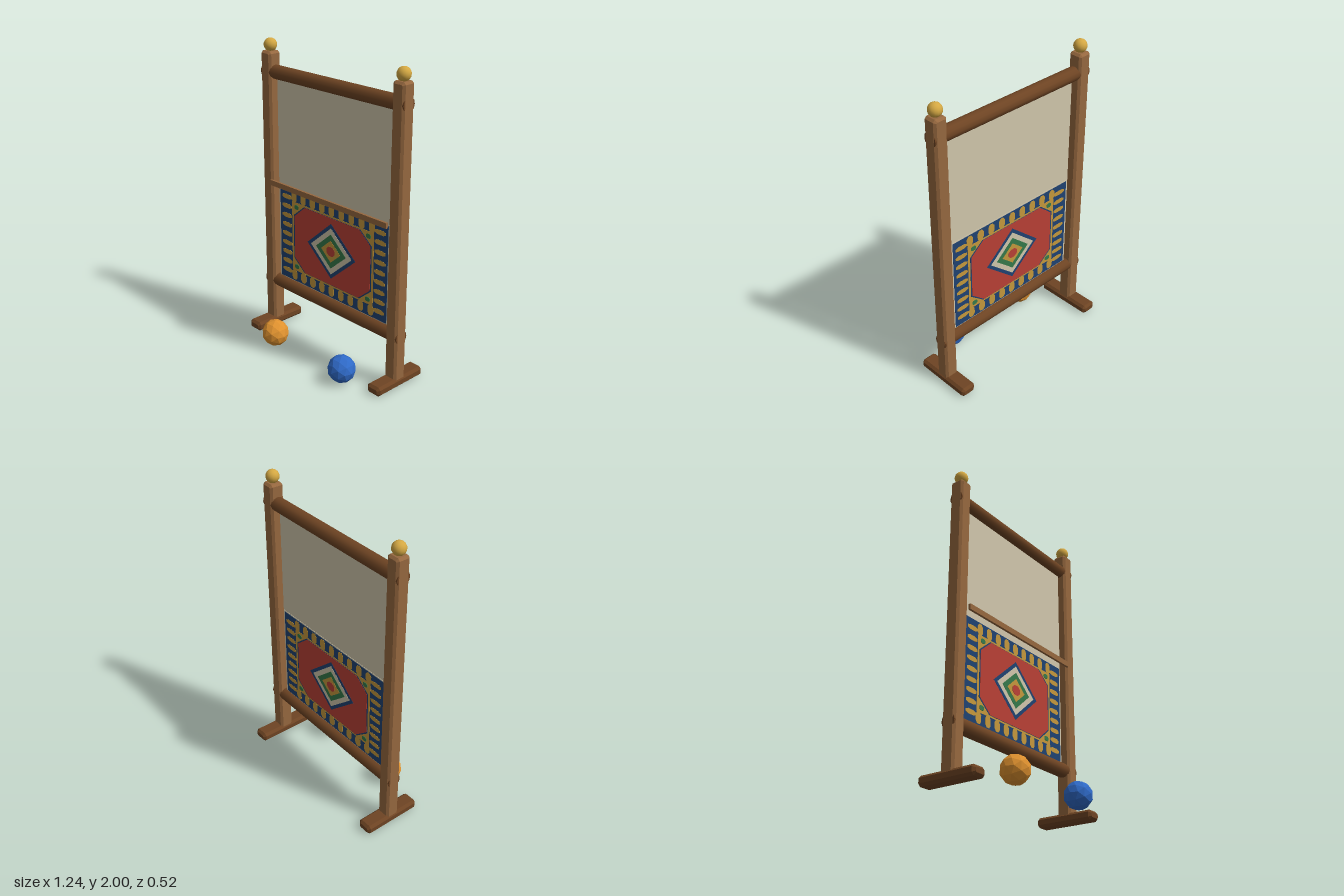
import * as THREE from 'three';

const mat = (name, color, extra = {}) =>
  Object.assign(new THREE.MeshStandardMaterial({ color, ...extra }), { name });

export function createModel() {
  const wood = mat('post wood', 0x96683f);
  const darkWood = mat('dark wood', 0x6e4423);
  const brass = mat('finial gold', 0xd4a843);
  const ivory = mat('warp ivory', 0xd0c6ab);
  const navy = mat('rug navy', 0x1f4272);
  const red = mat('rug red', 0xb84035);
  const green = mat('rug green', 0x35794a);
  const gold = mat('rug gold', 0xc4983c);
  const orange = mat('orange yarn', 0xe0922f, { flatShading: true });
  const blue = mat('blue yarn', 0x2f6ac8, { flatShading: true });

  const Z = -0.06; // plane of the frame
  const root = new THREE.Group();
  root.name = 'weavingLoom';

  const add = (name, geometry, material, x, y, z, parent = root) => {
    const mesh = new THREE.Mesh(geometry, material);
    mesh.name = name;
    mesh.position.set(x, y, z);
    parent.add(mesh);
    return mesh;
  };

  // Closed shape from half extents with corners cut by (cx, cy)
  const cutRect = (a, b, cx, cy) => new THREE.Shape([
    [a, -b + cy], [a, b - cy], [a - cx, b], [-a + cx, b],
    [-a, b - cy], [-a, -b + cy], [-a + cx, -b], [a - cx, -b],
  ].map(p => new THREE.Vector2(...p)));

  // Box with every edge chamfered
  const chamferBox = (w, h, d, c) => {
    const g = new THREE.ExtrudeGeometry(cutRect(w / 2, h / 2, c, c), {
      depth: d - 2 * c, bevelEnabled: true, bevelSegments: 1,
      bevelSize: c, bevelThickness: c, bevelOffset: -c,
    });
    return g.translate(0, 0, -d / 2 + c);
  };

  // Uprights, feet and finials
  for (const [side, s] of [['left', 1], ['right', -1]]) {
    const x = 0.567 * s;
    add(side + 'Post', chamferBox(0.092, 1.88, 0.094, 0.014), wood, x, 0.98, Z);
    add(side + 'Foot', chamferBox(0.105, 0.063, 0.4, 0.016), darkWood, x, 0.0315, Z - 0.003);
    add(side + 'Finial', new THREE.SphereGeometry(0.043, 14, 10), brass, x, 1.957, Z);
  }

  // Rollers
  for (const [name, y] of [['topBeam', 1.79], ['bottomBeam', 0.34]]) {
    const g = new THREE.CylinderGeometry(0.046, 0.046, 1.224, 12).rotateZ(Math.PI / 2);
    add(name, g, darkWood, 0, y, Z);
  }

  // Batten and warp sheet
  add('batten', new THREE.BoxGeometry(1.04, 0.036, 0.016), wood, 0, 1.062, -0.005);
  add('warp', new THREE.BoxGeometry(1.006, 1.42, 0.004), ivory, 0, 1.07, Z);

  // Rug: flat layers, each a little thicker so it shows on both faces
  const rug = new THREE.Group();
  rug.name = 'rug';
  rug.position.set(0, 0.712, Z);
  root.add(rug);
  const layer = (name, shape, level, material, x = 0, y = 0) => {
    const depth = 0.008 + 0.002 * level;
    const g = new THREE.ExtrudeGeometry(shape, { depth, bevelEnabled: false, curveSegments: 8 });
    add(name, g, material, x, y, -depth / 2, rug);
  };
  const rect = (a, b) => cutRect(a, b, 0.001, 0.001);
  const diamond = (a, b) => new THREE.Shape([
    [a, 0], [0, b], [-a, 0], [0, -b],
  ].map(p => new THREE.Vector2(...p)));

  layer('rugEdge', rect(0.499, 0.331), 0, ivory);
  layer('rugBorder', rect(0.489, 0.323), 1, navy);
  layer('goldFrame', rect(0.373, 0.245), 2, gold);
  layer('innerLine', cutRect(0.356, 0.234, 0.1, 0.082), 3, navy);
  layer('redField', cutRect(0.347, 0.232, 0.1, 0.084), 4, red);

  // Border motifs
  for (let i = -4; i <= 4; i++) {
    for (const s of [1, -1]) {
      layer('endMotif', cutRect(0.025, 0.037, 0.013, 0.018), 2, gold, i * 0.0885, s * 0.278);
      layer('sideMotif', cutRect(0.046, 0.016, 0.022, 0.008), 2, gold, s * 0.424, i * 0.066);
    }
  }

  // Green spots in the field corners
  for (const sx of [1, -1]) for (const sy of [1, -1]) {
    layer('cornerSpot', cutRect(0.02, 0.015, 0.01, 0.007), 5, green, sx * 0.328, sy * 0.212);
  }

  // Central medallion
  [
    [0.22, 0.19, navy], [0.186, 0.16, ivory], [0.137, 0.118, green], [0.088, 0.076, gold],
  ].forEach(([a, b, m], i) => layer('medallionRing', diamond(a, b), 5 + i, m, 0, 0.004));
  layer('medallionHeart', cutRect(0.036, 0.032, 0.02, 0.018), 9, red, 0, 0.004);

  // Yarn balls
  add('orangeYarnBall', new THREE.IcosahedronGeometry(0.09, 1), orange, -0.302, 0.097, 0.17);
  add('blueYarnBall', new THREE.IcosahedronGeometry(0.09, 1), blue, 0.332, 0.097, 0.17);

  return root;
}
